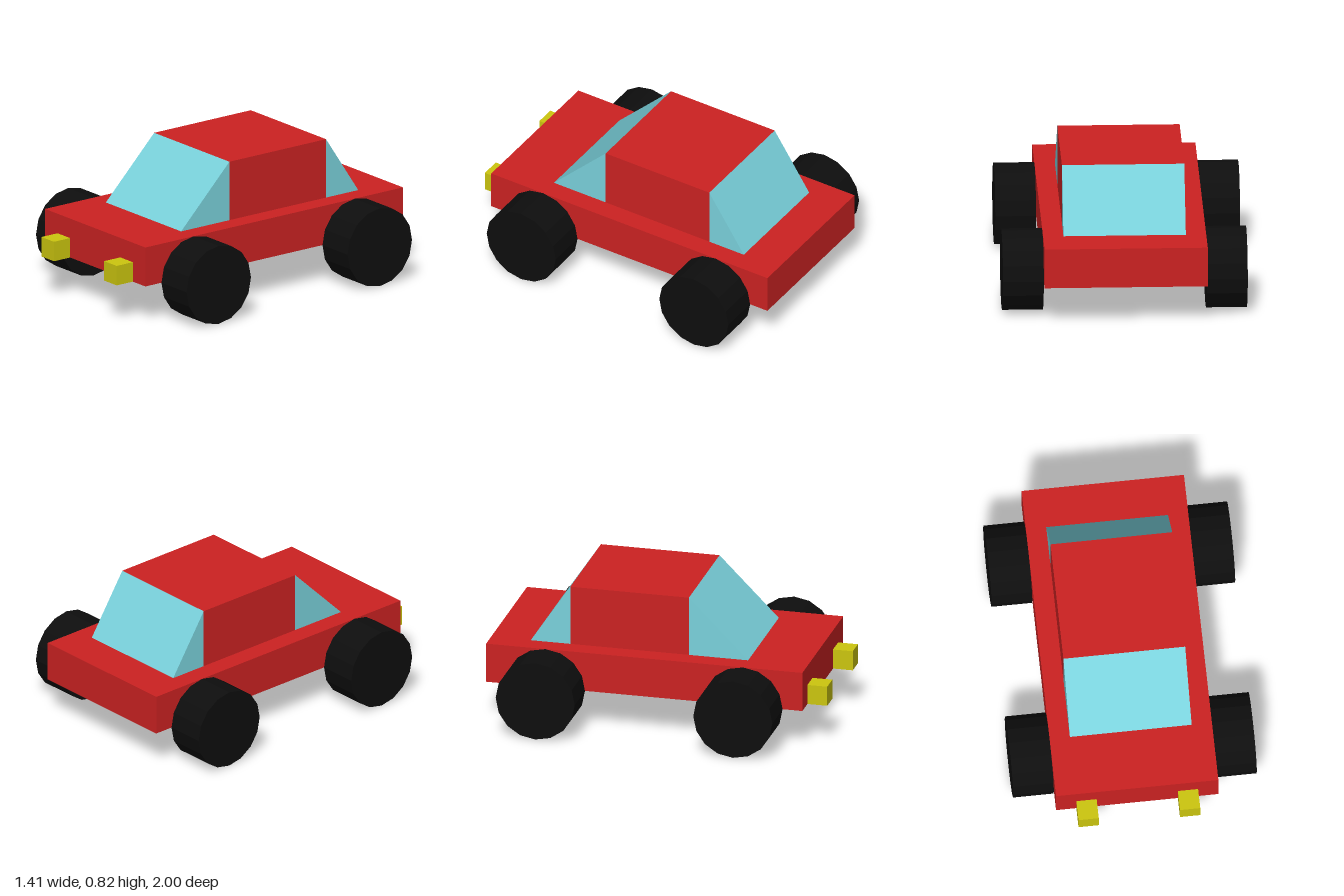
import * as THREE from 'three';

const U = 2 / 17; // design unit: the car is 17 units long

const material = (name, color) => {
  const m = new THREE.MeshStandardMaterial({ color });
  m.name = name;
  return m;
};

export function createModel() {
  const car = new THREE.Group();
  car.name = 'car';
  const red = material('red paint', 0xcc2222);
  const glass = material('pale blue glass', 0x7ad2dc);
  const black = material('black rubber', 0x0e0e0e);
  const yellow = material('yellow lamp', 0xccc60f);
  black.flatShading = true;

  const add = (name, geometry, mat, x = 0, y = 0, z = 0) => {
    const mesh = new THREE.Mesh(geometry, mat);
    mesh.name = name;
    mesh.position.set(x * U, y * U, z * U);
    car.add(mesh);
  };
  const box = (w, h, d) => new THREE.BoxGeometry(w * U, h * U, d * U);

  // Triangular prism across the car, from [z, y] corners in counterclockwise order
  const wedge = (width, corners) => {
    const shape = new THREE.Shape(corners.map(([z, y]) => new THREE.Vector2(z * U, y * U)));
    const g = new THREE.ExtrudeGeometry(shape, { depth: width * U, bevelEnabled: false });
    return g.translate(0, 0, -width * U / 2).rotateY(-Math.PI / 2);
  };

  // Body and cabin
  add('body', box(8, 2, 16), red, 0, 3, -0.5);
  add('cabin', box(6, 3, 6), red, 0, 5.5, -1.5);

  // Sloping solid windows at both ends of the cabin
  add('windshield', wedge(6, [[1.5, 4], [4.5, 4], [1.5, 7]]), glass);
  add('rearWindow', wedge(6, [[-6.5, 4], [-4.5, 4], [-4.5, 7]]), glass);

  // Wheels and headlights, mirrored left and right
  const wheel = new THREE.CylinderGeometry(2 * U, 2 * U, 2 * U, 16).rotateZ(Math.PI / 2);
  const lamp = box(1, 1, 1);
  for (const [side, s] of [['left', 1], ['right', -1]]) {
    add(side + 'FrontWheel', wheel, black, s * 5, 2, 4.5);
    add(side + 'RearWheel', wheel, black, s * 5, 2, -5.5);
    add(side + 'Headlight', lamp, yellow, s * 2.5, 2.5, 8);
  }
  return car;
}
